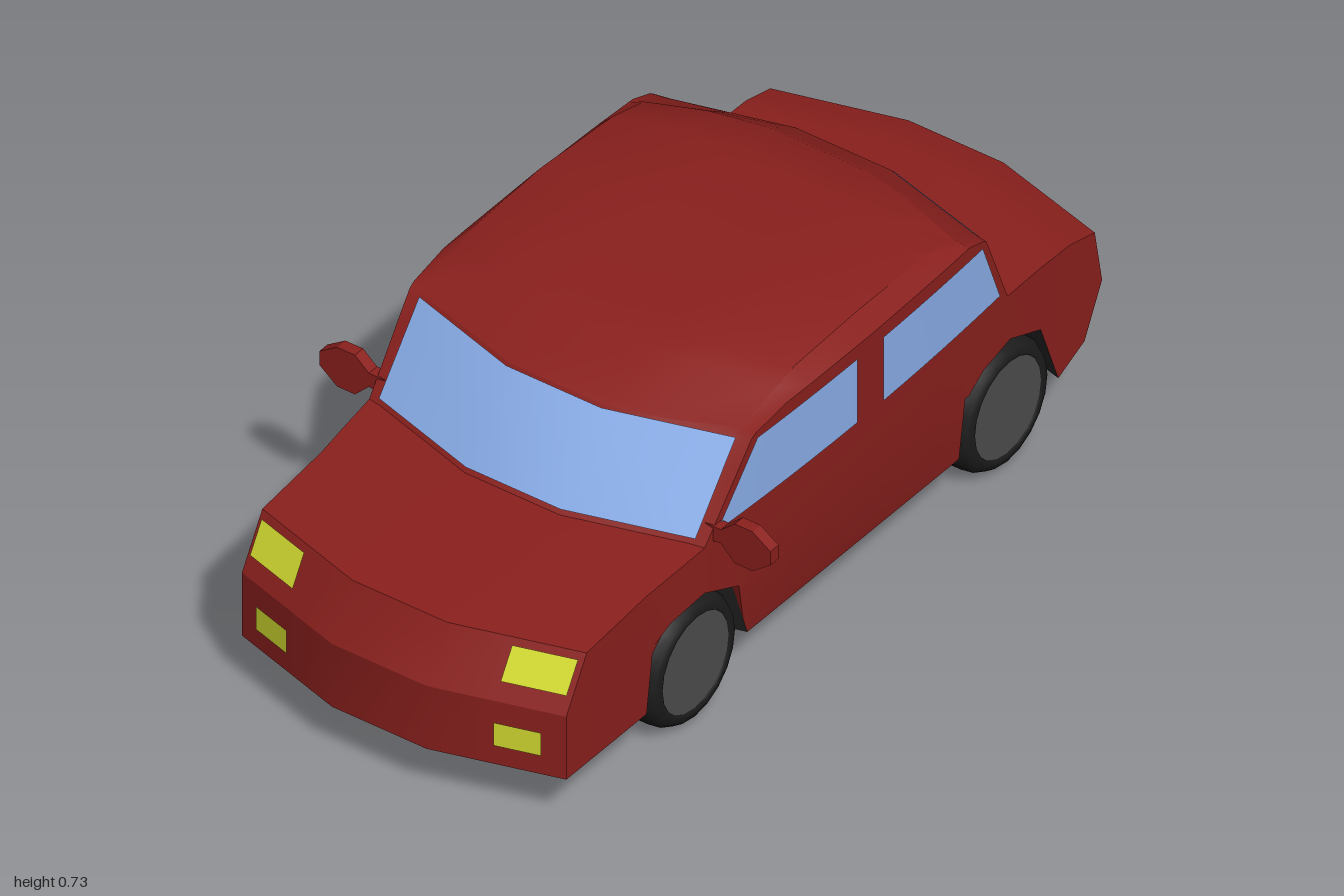
import * as THREE from 'three';
import { toCreasedNormals } from 'three/addons/utils/BufferGeometryUtils.js';

const RED = 0x8a201d, GLASS = 0x8aaeea, YELLOW = 0xd4dc30, DARK = 0x262626;

const mat = (color, side = THREE.FrontSide) => new THREE.MeshStandardMaterial({ color, side });
function mesh(name, geometry, material) {
  const m = new THREE.Mesh(geometry, material);
  m.name = name;
  return m;
}

// Outlines along the car as [z at the flank, y], front to back
const TOP = [[0.915, 0.29], [0.845, 0.41], [0.46, 0.45], [0.31, 0.64], [0.19, 0.70], [0.12, 0.72], [-0.1, 0.73],
  [-0.33, 0.72], [-0.43, 0.70], [-0.51, 0.64], [-0.59, 0.45], [-0.81, 0.445], [-0.895, 0.425], [-0.92, 0.29]];
const BOTTOM = [[0.915, 0.13], [0.64, 0.13], [0.62, 0.27], [0.565, 0.32], [0.46, 0.335], [0.35, 0.29], [0.295, 0.13],
  [-0.43, 0.13], [-0.445, 0.27], [-0.50, 0.32], [-0.60, 0.335], [-0.71, 0.29], [-0.77, 0.13], [-0.86, 0.17], [-0.92, 0.29]];

function along(line, z) {
  for (let i = 1; i < line.length; i++) {
    const [z0, y0] = line[i - 1], [z1, y1] = line[i];
    if (z >= z1) return y0 + (y1 - y0) * Math.min(1, Math.max(0, (z0 - z) / (z0 - z1)));
  }
  return line[line.length - 1][1];
}
const clamp = THREE.MathUtils.clamp;
const halfWidth = z => 0.41 + 0.028 * Math.max(0, 1 - (z / 0.65) ** 2);

// Nose and tail bow outwards towards the centre line
function bow(x, z) {
  const reach = -0.08 + 0.165 * clamp((z + 0.51) / 0.82, 0, 1);
  return z + reach * (1 - clamp((Math.abs(x) - 0.12) / 0.29, 0, 1));
}

// Surface through rows of [x, y, z] points
function loft(rows, crease = 0.45) {
  const pos = [], idx = [], n = rows[0].length;
  rows.forEach(r => r.forEach(p => pos.push(...p)));
  for (let i = 0; i < rows.length - 1; i++) {
    for (let j = 0; j < n - 1; j++) {
      const a = i * n + j, b = a + n;
      idx.push(a, b, a + 1, b, b + 1, a + 1);
    }
  }
  const g = new THREE.BufferGeometry();
  g.setAttribute('position', new THREE.Float32BufferAttribute(pos, 3));
  g.setIndex(idx);
  return toCreasedNormals(g, crease);
}

// Cross-section over the top, from the left sill to the right sill
function upperSection(z, top, bottom) {
  const w = halfWidth(z), gutter = Math.min(0.665, top);
  const half = [
    [Math.min(0.41, w), bottom], [w, clamp(0.29, bottom, top)], [w, Math.max(bottom, Math.min(0.45, top))],
    [w, gutter], [w - 0.035, Math.max(gutter, top - 0.02)], [0.255, top], [0.12, top],
  ];
  const right = half.map(([x, y]) => [-x, y]).reverse();
  return [...half, ...right].map(([x, y]) => [x, y, bow(x, z)]);
}

// Cross-section underneath, from the right sill to the left, stepping up into the arches
function lowerSection(z, bottom) {
  const floor = z > -0.77 ? 0.13 : bottom;
  const half = [[-Math.min(0.41, halfWidth(z)), bottom], [-0.25, bottom], [-0.25, floor], [-0.12, floor]];
  const left = half.map(([x, y]) => [-x, y]).reverse();
  return [...half, ...left].map(([x, y]) => [x, y, bow(x, z)]);
}

// Panel lying on the bowed nose, tail or glass; slope gives flank z for a height
function panel(name, color, xs, y0, y1, slope, lift) {
  const rows = [y0, y1].map(y => xs.map(x => [x, y, bow(x, slope(y)) + lift]));
  return mesh(name, loft(rows), mat(color, THREE.DoubleSide));
}
const line = (ya, za, yb, zb) => y => za + (y - ya) / (yb - ya) * (zb - za);

// Side window following the curved flank
function sideWindow(name, side, [frontLow, frontHigh], [backLow, backHigh]) {
  const row = (a, b, y) => Array.from({ length: 7 }, (_, i) => {
    const z = a + (b - a) * i / 6;
    return [side * (halfWidth(z) + 0.004), y, z];
  });
  const g = loft([row(frontLow, backLow, 0.475), row(frontHigh, backHigh, 0.637)]);
  return mesh(name, g, mat(GLASS, THREE.DoubleSide));
}

function wheel(side, z) {
  const group = new THREE.Group();
  group.name = 'wheel';
  const tyre = [[0, -0.07], [0.115, -0.075], [0.138, -0.068], [0.151, -0.045], [0.155, -0.015], [0.155, 0.02],
    [0.151, 0.05], [0.138, 0.07], [0.118, 0.076], [0.115, 0.066]].map(p => new THREE.Vector2(...p));
  group.add(mesh('tyre', new THREE.LatheGeometry(tyre, 20), mat(0x1c1c1c, THREE.DoubleSide)));
  const hub = mesh('hub', new THREE.CylinderGeometry(0.117, 0.117, 0.02, 20), mat(0x4c4c4c));
  hub.position.y = 0.06;
  group.add(hub);
  group.rotation.z = -side * Math.PI / 2;
  group.position.set(side * 0.336, 0.157, z);
  return group;
}

function wingMirror(side) {
  const group = new THREE.Group();
  group.name = 'wingMirror';
  const outline = [[0.405, 0.45], [0.445, 0.455], [0.48, 0.42], [0.525, 0.42], [0.57, 0.455],
    [0.57, 0.49], [0.525, 0.52], [0.48, 0.52], [0.445, 0.49], [0.405, 0.49]];
  const shape = new THREE.Shape(outline.map(p => new THREE.Vector2(side * p[0], p[1])));
  const shell = mesh('mirrorShell', new THREE.ExtrudeGeometry(shape, { depth: 0.028, bevelEnabled: false }), mat(RED));
  shell.position.z = 0.405;
  const glassShape = new THREE.Shape(outline.slice(1, 9).map(([x, y]) =>
    new THREE.Vector2(side * (0.508 + (x - 0.508) * 0.82), 0.47 + (y - 0.47) * 0.82)));
  const glass = mesh('mirrorGlass', new THREE.ShapeGeometry(glassShape), mat(GLASS, THREE.DoubleSide));
  glass.position.z = 0.402;
  group.add(shell, glass);
  return group;
}

export function createModel() {
  const car = new THREE.Group();
  car.name = 'car';

  // Body shell, including the nose as a collapsed first section
  const stations = [...new Set([...TOP, ...BOTTOM].map(p => p[0]))].sort((a, b) => b - a);
  const shell = stations.map(z => upperSection(z, along(TOP, z), along(BOTTOM, z)));
  shell.unshift(shell[0].map(([x, , z]) => [x, 0.13, z]));
  car.add(mesh('body', loft(shell), mat(RED)));

  // Floor with wheel arches, then the rising rear valance
  const under = zs => loft(zs.map(z => lowerSection(z, along(BOTTOM, z))), 0.3);
  car.add(mesh('floor', under(stations.filter(z => z >= -0.77)), mat(DARK, THREE.DoubleSide)));
  car.add(mesh('rearValance', under(stations.filter(z => z <= -0.77)), mat(RED, THREE.DoubleSide)));

  // Windscreen and rear window
  car.add(panel('windscreen', GLASS, [-0.4, -0.12, 0.12, 0.4], 0.462, 0.637, line(0.45, 0.46, 0.64, 0.31), 0.006));
  car.add(panel('rearWindow', GLASS, [-0.39, -0.12, 0.12, 0.39], 0.465, 0.63, line(0.45, -0.59, 0.64, -0.51), -0.006));

  const noseSlope = line(0.29, 0.915, 0.41, 0.845), tailSlope = line(0.29, -0.92, 0.425, -0.895);
  for (const side of [1, -1]) {
    const span = (a, b) => [side * a, side * b];
    car.add(panel('headlight', YELLOW, span(0.263, 0.4), 0.33, 0.398, noseSlope, 0.006));
    car.add(panel('fogLight', YELLOW, span(0.262, 0.36), 0.18, 0.238, () => 0.915, 0.005));
    car.add(panel('tailLight', 0xa01020, span(0.27, 0.4), 0.33, 0.4, tailSlope, -0.005));
    car.add(sideWindow('frontSideWindow', side, [0.425, 0.295], [-0.04, -0.04]));
    car.add(sideWindow('rearSideWindow', side, [-0.13, -0.13], [-0.555, -0.49]));
    car.add(wingMirror(side));
    car.add(wheel(side, 0.47), wheel(side, -0.6));
  }
  return car;
}
